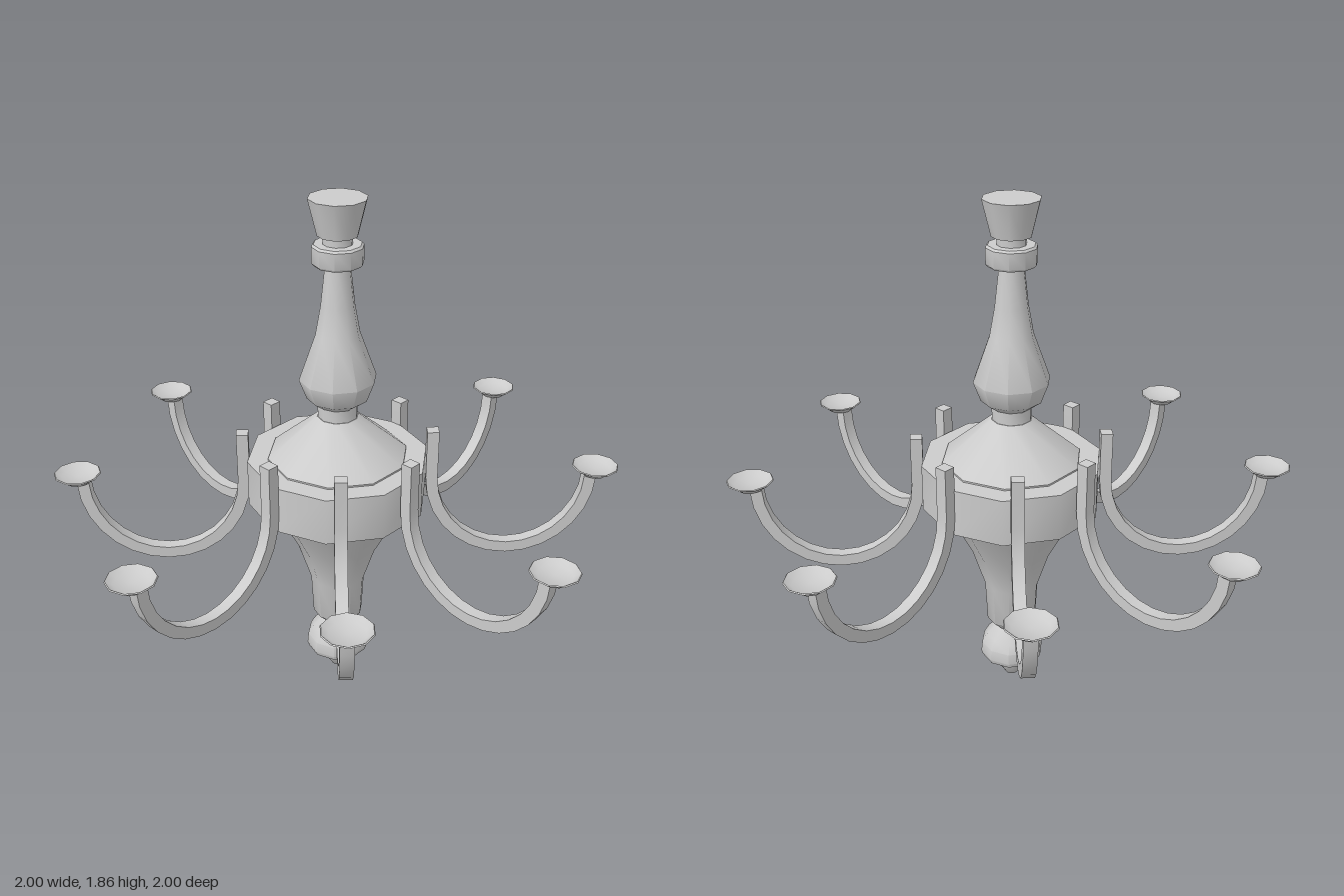
import * as THREE from 'three';
import { toCreasedNormals } from 'three/addons/utils/BufferGeometryUtils.js';

const material = new THREE.MeshStandardMaterial({ color: 0xcccccc });
const SIDES = 10;
const ARMS = 8;
const CREASE = 0.7;

function addMesh(parent, name, geometry) {
  const mesh = new THREE.Mesh(toCreasedNormals(geometry, CREASE), material);
  mesh.name = name;
  parent.add(mesh);
  return mesh;
}

// Ten-sided turned part with a corner on the x axis; profile is [radius, y] from bottom to top.
function turned(profile) {
  const points = profile.map(([r, y]) => new THREE.Vector2(r, y));
  return new THREE.LatheGeometry(points, SIDES).rotateY(Math.PI / 2);
}

// Square bar: a short upright that runs into a half-ellipse hook.
function armGeometry() {
  const width = 0.044, half = 0.021, steps = 14;
  const cx = 0.615, cy = 0.85, rx = 0.283, ry = 0.3;
  const inner = [[0.332 + half, 1.03]];
  const outer = [[0.332 - half, 1.03]];
  for (let i = 0; i <= steps; i++) {
    const a = Math.PI + (Math.PI * i) / steps;
    const c = Math.cos(a), s = Math.sin(a);
    inner.push([cx + (rx - half) * c, cy + (ry - half) * s]);
    outer.push([cx + (rx + half) * c, cy + (ry + half) * s]);
  }
  const outline = [...outer, ...inner.reverse()].map(([x, y]) => new THREE.Vector2(x, y));
  return new THREE.ExtrudeGeometry(new THREE.Shape(outline), { depth: width, bevelEnabled: false })
    .translate(0, 0, -width / 2);
}

export function createModel() {
  const chandelier = new THREE.Group();
  chandelier.name = 'chandelier';

  // Pointed finial and bulb
  addMesh(chandelier, 'finial', turned([
    [0, 0], [0.025, 0.015], [0.05, 0.055], [0.068, 0.105], [0.112, 0.108],
    [0.118, 0.125], [0.114, 0.165], [0.095, 0.2], [0.056, 0.24], [0, 0.24],
  ]));

  // Tapering lower body and sloping shoulder
  addMesh(chandelier, 'body', turned([
    [0, 0.235], [0.056, 0.238], [0.092, 0.275], [0.1, 0.43], [0.145, 0.57],
    [0.21, 0.695], [0.247, 0.765], [0.247, 0.946], [0.072, 1.095], [0, 1.095],
  ]));

  // Faceted hub that carries the arms
  addMesh(chandelier, 'hubRing',
    new THREE.CylinderGeometry(0.32, 0.32, 0.17, SIDES).rotateY(Math.PI / 2).translate(0, 0.855, 0));

  // Vase-shaped stem
  addMesh(chandelier, 'stem', turned([
    [0, 1.09], [0.07, 1.09], [0.07, 1.14], [0.108, 1.168], [0.134, 1.238],
    [0.076, 1.4], [0.058, 1.5], [0.042, 1.645], [0, 1.645],
  ]));

  // Collar, neck and ceiling cup
  addMesh(chandelier, 'collar', turned([
    [0, 1.64], [0.08, 1.64], [0.087, 1.648], [0.087, 1.703], [0.08, 1.71], [0, 1.71],
  ]));
  addMesh(chandelier, 'neck', turned([[0.05, 1.705], [0.05, 1.745]]));
  addMesh(chandelier, 'topCup', turned([
    [0, 1.738], [0.068, 1.738], [0.098, 1.86], [0, 1.86],
  ]));

  // Arms with recessed candle dishes
  const arm = armGeometry();
  const dish = turned([
    [0, 0.847], [0.045, 0.847], [0.056, 0.858], [0.083, 0.876], [0.08, 0.88],
    [0.058, 0.864], [0, 0.864],
  ]).translate(0.917, 0, 0);
  for (let i = 0; i < ARMS; i++) {
    const branch = new THREE.Group();
    branch.name = 'branch' + (i + 1);
    addMesh(branch, 'arm', arm);
    addMesh(branch, 'candleDish', dish);
    branch.rotation.y = (i * Math.PI * 2) / ARMS;
    chandelier.add(branch);
  }

  return chandelier;
}
